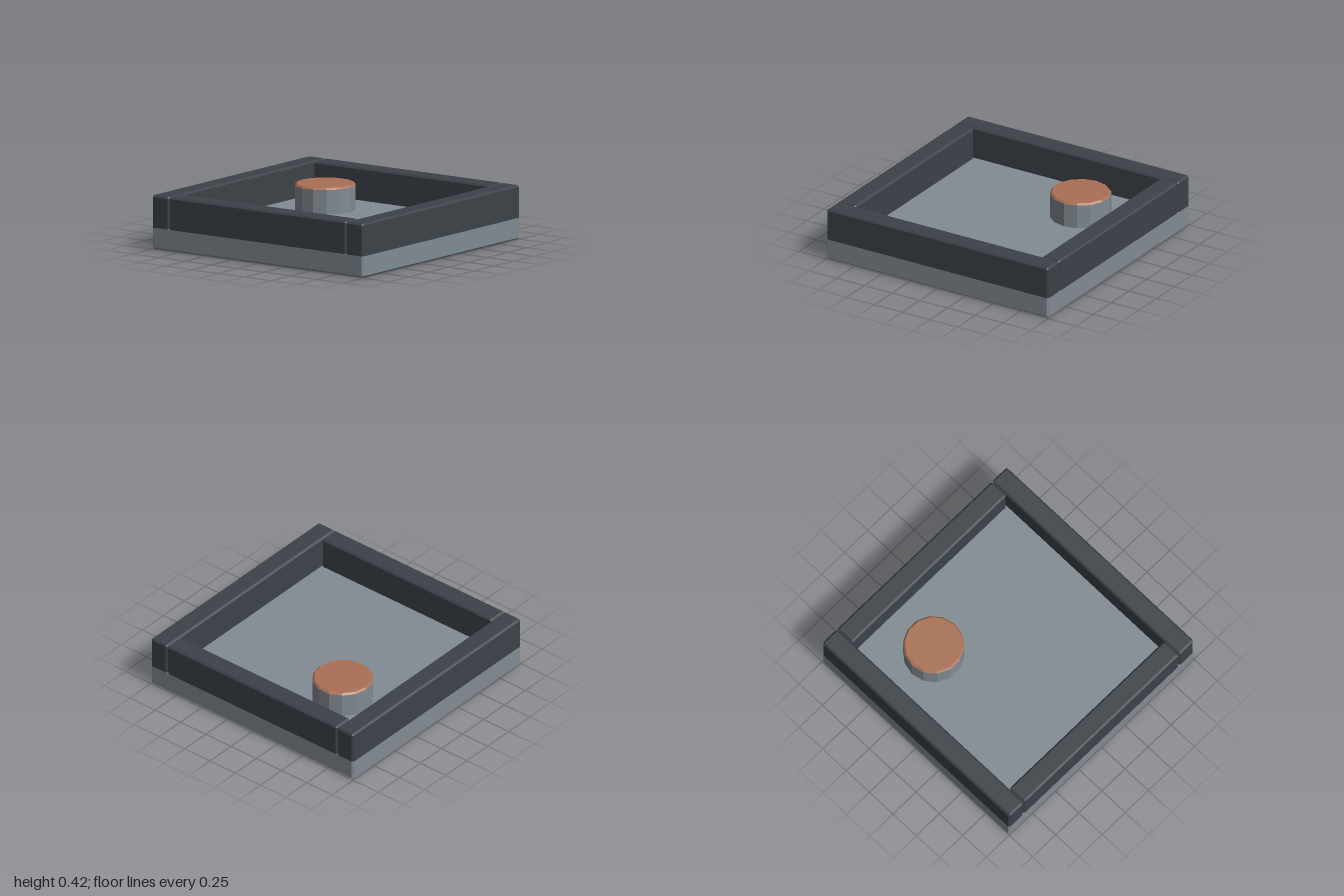
import * as THREE from 'three';
import { ConvexGeometry } from 'three/addons/geometries/ConvexGeometry.js';

const SIZE = 2, FLOOR = 0.167, TOP = 0.42, WALL = 0.16, BEVEL = 0.014;

// Box with chamfered vertical edges and optional chamfers along its bottom and top rims
function chamferBox(w, d, y0, y1, bottom, top) {
  const points = [];
  const ring = (y, a, b) => {
    for (const sx of [-1, 1]) for (const sz of [-1, 1]) {
      points.push(new THREE.Vector3(sx * a, y, sz * (b - BEVEL)));
      points.push(new THREE.Vector3(sx * (a - BEVEL), y, sz * b));
    }
  };
  const cap = (y) => {
    for (const sx of [-1, 1]) for (const sz of [-1, 1]) {
      points.push(new THREE.Vector3(sx * (w / 2 - BEVEL), y, sz * (d / 2 - BEVEL)));
    }
  };
  if (bottom) cap(y0);
  ring(y0 + (bottom ? BEVEL : 0), w / 2, d / 2);
  ring(y1 - (top ? BEVEL : 0), w / 2, d / 2);
  if (top) cap(y1);
  return new ConvexGeometry(points);
}

// Faceted turned part
function turned(profile) {
  const points = profile.map(([r, y]) => new THREE.Vector2(r, y));
  const geometry = new THREE.LatheGeometry(points, 14).toNonIndexed();
  geometry.computeVertexNormals();
  return geometry;
}

export function createModel() {
  const group = new THREE.Group();
  const material = (name, color) => {
    const m = new THREE.MeshStandardMaterial({ color });
    m.name = name;
    return m;
  };
  const slate = material('slate grey', 0x828b93);
  const charcoal = material('charcoal', 0x3d4249);
  const copper = material('copper', 0xa97055);

  const add = (name, geometry, mat, x = 0, z = 0) => {
    const mesh = new THREE.Mesh(geometry, mat);
    mesh.name = name;
    mesh.position.set(x, 0, z);
    group.add(mesh);
  };

  // Floor slab
  add('base', chamferBox(SIZE, SIZE, 0, FLOOR, true, false), slate);

  // Rim: long walls front and back, shorter walls fitted between them
  const offset = (SIZE - WALL) / 2;
  const longWall = chamferBox(SIZE, WALL, FLOOR, TOP, false, true);
  const sideWall = chamferBox(WALL, SIZE - 2 * WALL, FLOOR, TOP, false, true);
  add('frontWall', longWall, charcoal, 0, offset);
  add('backWall', longWall, charcoal, 0, -offset);
  add('leftWall', sideWall, charcoal, offset, 0);
  add('rightWall', sideWall, charcoal, -offset, 0);

  // Round post with a copper cap
  const r = 0.235, h = 0.37;
  add('postBody', turned([[r, FLOOR], [r, h - BEVEL]]), slate, 0.4, -0.4);
  add('postCap', turned([[r, h - BEVEL], [r - BEVEL, h], [0, h]]), copper, 0.4, -0.4);

  return group;
}
